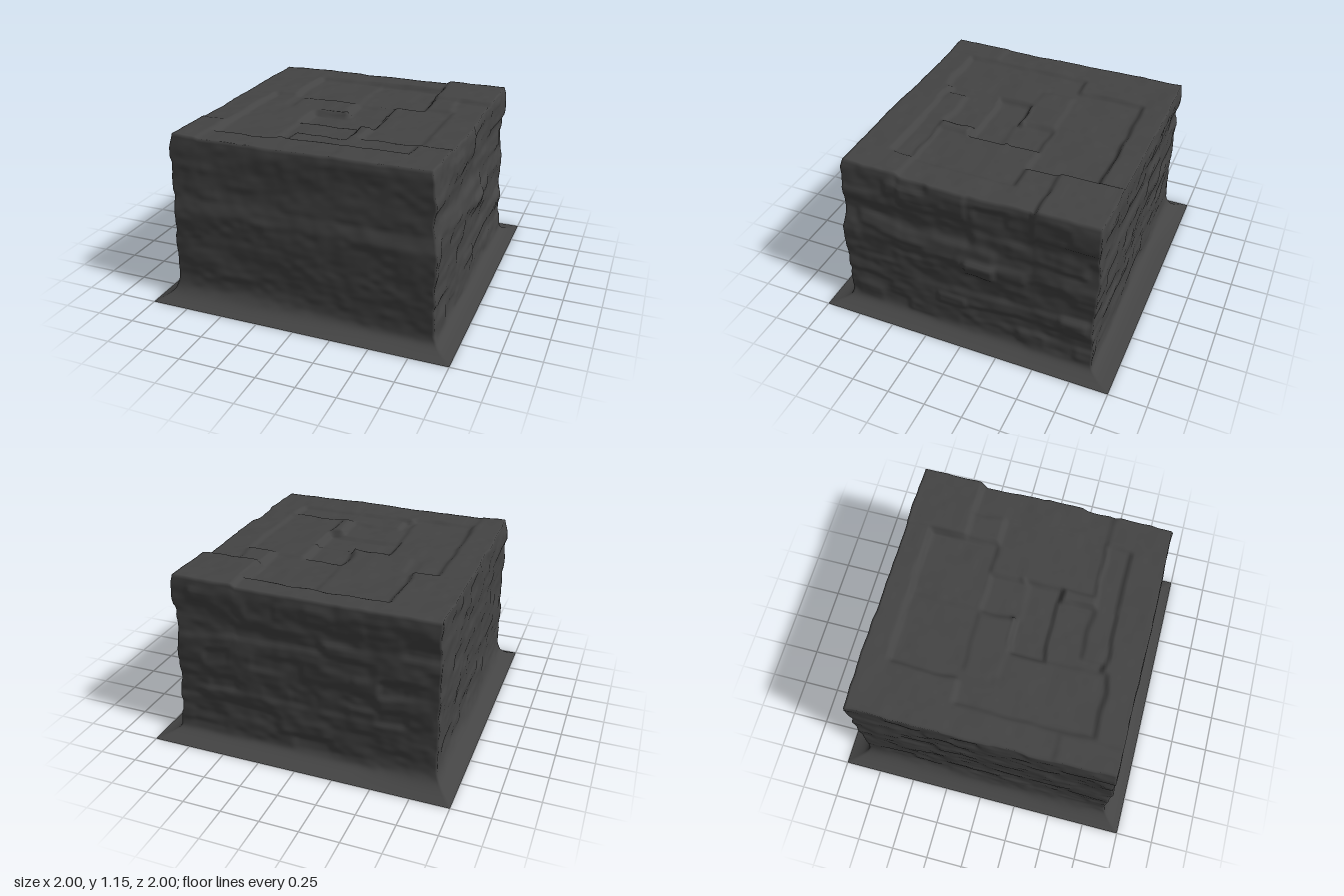
import * as THREE from 'three';
import { mergeVertices } from 'three/addons/utils/BufferGeometryUtils.js';

// Wall outlines above the foot: [height, distance from the centre]
const WALLS = {
  right: [[0, 0.875], [0.2, 0.868], [0.4, 0.86], [0.52, 0.86], [0.63, 0.868], [0.72, 0.85], [0.8, 0.838], [0.95, 0.84], [1.1, 0.835], [1.15, 0.825]],
  left: [[0, 0.865], [0.2, 0.867], [0.5, 0.872], [0.8, 0.87], [1.1, 0.865], [1.15, 0.86]],
  front: [[0, 0.862], [0.3, 0.868], [0.55, 0.872], [0.65, 0.874], [0.74, 0.858], [0.9, 0.853], [1.1, 0.85], [1.15, 0.845]],
  back: [[0, 0.842], [0.4, 0.845], [0.7, 0.852], [0.9, 0.85], [1.08, 0.86], [1.15, 0.855]],
};

// Height of the flared foot along each wall: broad at the left, tight elsewhere
const FLARE = {
  right: () => 0.02,
  left: () => 0.05,
  front: (u) => lerp(0.045, 0.02, smoothstep(u, -0.3, 0.7)),
  back: (u) => lerp(0.045, 0.018, smoothstep(u, -0.9, -0.3)),
};

// Depth of the masonry on each wall
const ROUGHNESS = { right: 0.02, left: 0.013, front: 0.004, back: 0.017 };

// Slabs on the top: x0, z0, x1, z1, height
const SLABS = [
  [0.62, -0.47, 0.95, 0.46, 1.132],
  [-0.67, -0.22, -0.24, 0.66, 1.117],
  [-0.5, -0.69, 0.44, -0.02, 1.112],
  [-0.03, -0.69, 0.43, -0.23, 1.105],
  [-0.44, -0.22, -0.05, 0.0, 1.122],
  [-0.25, 0.01, 0.26, 0.25, 1.083],
  [-0.03, -0.22, 0.23, 0.04, 1.09],
  [-0.25, 0.24, 0.16, 0.62, 1.105],
  [-0.18, 0.47, 0.6, 0.62, 1.122],
  [0.24, -0.23, 0.63, 0.46, 1.12],
  [0.44, -0.86, 0.95, -0.45, 1.162],
  [-0.95, 0.45, -0.69, 0.95, 1.146],
  [0.2, 0.62, 0.61, 0.95, 1.145],
];

// Single stones on the right wall: z0, y0, z1, y1, extra depth
const STONES = [
  [0.0, 0.95, 0.46, 1.3, 0.01],
  [-1.0, 0.94, -0.43, 1.3, 0.018],
  [-0.2, 0.54, 0.0, 0.65, 0.018],
  [0.0, 0.23, 0.2, 0.31, 0.01],
  [-0.82, 0.31, -0.64, 0.4, 0.01],
];

const hash = (a, b, c) => {
  const s = Math.sin(a * 127.1 + b * 311.7 + c * 74.7) * 43758.5453;
  return s - Math.floor(s);
};
const { lerp, smoothstep } = THREE.MathUtils;

function sample(points, y) {
  for (let i = 1; i < points.length; i++) {
    const [y0, d0] = points[i - 1], [y1, d1] = points[i];
    if (y <= y1) return lerp(d0, d1, (y - y0) / (y1 - y0));
  }
  return points[points.length - 1][1];
}

// Soft-edged rectangle, 1 inside and 0 outside
const patch = (u, v, [u0, v0, u1, v1], e = 0.018) =>
  smoothstep(u, u0 - e, u0 + e) * (1 - smoothstep(u, u1 - e, u1 + e)) *
  smoothstep(v, v0 - e, v0 + e) * (1 - smoothstep(v, v1 - e, v1 + e));

// Smooth noise for weathering
function noise(u, v, seed) {
  const i = Math.floor(u), j = Math.floor(v);
  const s = smoothstep(u - i, 0, 1), t = smoothstep(v - j, 0, 1);
  return lerp(
    lerp(hash(i, j, seed), hash(i + 1, j, seed), s),
    lerp(hash(i, j + 1, seed), hash(i + 1, j + 1, seed), s), t) - 0.5;
}

// Worn courses of stones that step softly from one depth to the next
function masonry(u, y, seed) {
  const yy = y / 0.1 + 0.8 * noise(u * 2.5, y * 4, seed + 9);
  const row = Math.floor(yy);
  const course = (r) => {
    const uu = (u + 5 + hash(r, 3, seed)) / (0.16 + 0.2 * hash(r, 5, seed));
    const col = Math.floor(uu);
    return lerp(hash(r, col, seed), hash(r, col + 1, seed), smoothstep(uu - col, 0.75, 1));
  };
  return lerp(course(row), course(row + 1), smoothstep(yy - row, 0.55, 1)) - 0.5;
}

function wallDistance(side, u, y, seed) {
  let d = masonry(u, y, seed) * ROUGHNESS[side];
  d += 0.01 * noise(u * 4 + y * 2, y * 9 - u * 2, seed) + 0.006 * noise(u * 14, y * 22, seed + 5);
  if (side === 'right') for (const s of STONES) d += s[4] * patch(u, y, s);
  const wall = sample(WALLS[side], y) + d * smoothstep(y, 0.0, 0.12);
  return lerp(wall, 1, Math.exp(-y / FLARE[side](u)));
}

function topHeight(x, z) {
  const wx = x + 0.025 * noise(x * 8, z * 8, 31), wz = z + 0.025 * noise(x * 8, z * 8, 32);
  let h = 1.141 + 0.004 * x;
  for (const s of SLABS) h = lerp(h, s[4], patch(wx, wz, s));
  return h + 0.008 * noise(x * 6, z * 6, 21) + 0.004 * noise(x * 16, z * 16, 22);
}

export function createModel() {
  const group = new THREE.Group();

  // Subdivided box without its underside
  const box = new THREE.BoxGeometry(2, 2, 2, 120, 80, 120);
  const kept = Array.from(box.index.array);
  kept.splice(box.groups[3].start, box.groups[3].count);
  box.setIndex(kept);
  box.clearGroups();
  box.deleteAttribute('normal');
  box.deleteAttribute('uv');
  const shell = mergeVertices(box, 1e-4);

  // Shape the walls, the flared foot and the slabbed top
  const p = shell.attributes.position;
  for (let i = 0; i < p.count; i++) {
    const a = p.getX(i), b = p.getZ(i);
    const t = Math.pow((p.getY(i) + 1) / 2, 1.3);
    const y = 1.15 * t, u = a * 0.86, w = b * 0.86;
    const x = lerp(-wallDistance('left', w, y, 2), wallDistance('right', w, y, 1), (a + 1) / 2);
    const z = lerp(-wallDistance('back', u, y, 4), wallDistance('front', u, y, 3), (b + 1) / 2);
    // On the top only the rim follows the wall stones
    const edge = Math.max(Math.abs(a), Math.abs(b));
    const rim = t > 0.999 ? smoothstep(edge, 0.9, 1) : 1;
    const px = lerp(u, x, rim), pz = lerp(w, z, rim);
    p.setXYZ(i, px, 0.01 + t * (topHeight(px, pz) - 0.01), pz);
  }
  shell.computeVertexNormals();

  const block = new THREE.Mesh(shell, new THREE.MeshStandardMaterial({
    color: 0x444444, side: THREE.DoubleSide,
  }));
  block.name = 'stoneBlock';
  group.add(block);
  return group;
}
